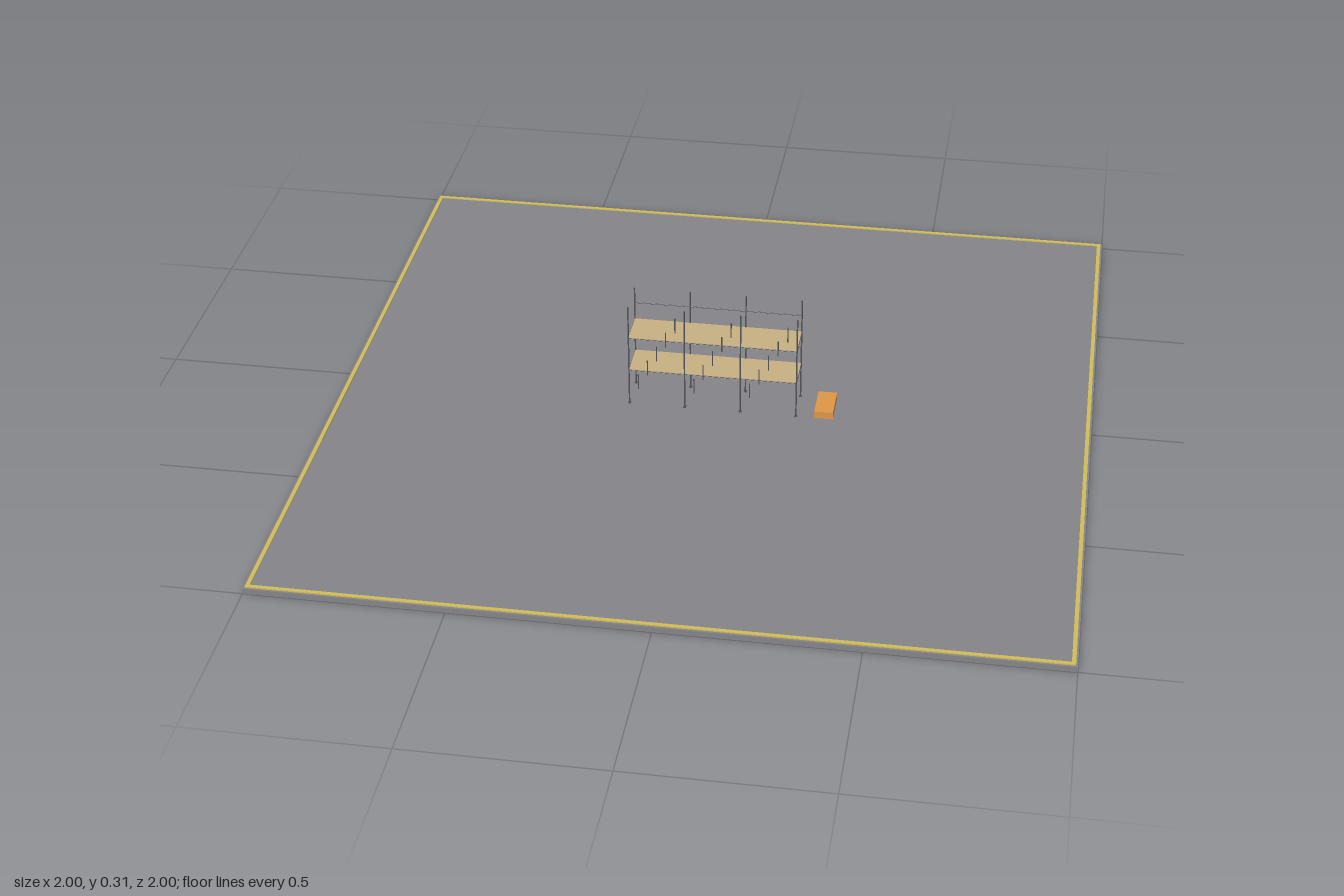
import * as THREE from 'three';

const mat = (color) => new THREE.MeshStandardMaterial({ color });

export function createModel() {
  const model = new THREE.Group();
  const concrete = mat(0x858489), yellow = mat(0xd2bd5a), steel = mat(0x55585c);
  const wood = mat(0xc8b083), orange = mat(0xdd9748);

  const add = (parent, name, geometry, material, x, y, z) => {
    const mesh = new THREE.Mesh(geometry, material);
    mesh.name = name;
    mesh.position.set(x, y, z);
    parent.add(mesh);
    return mesh;
  };
  const box = (parent, name, material, w, h, d, x, y, z) =>
    add(parent, name, new THREE.BoxGeometry(w, h, d), material, x, y, z);
  const tube = (parent, name, r, length, x, y, z) =>
    add(parent, name, new THREE.CylinderGeometry(r, r, length, 8), steel, x, y, z);

  // Ground slab with a painted border strip
  const floor = 0.015;
  box(model, 'groundSlab', concrete, 2, floor, 2, 0, floor / 2, 0);
  const border = new THREE.Group();
  border.name = 'slabBorder';
  model.add(border);
  for (const s of [-1, 1]) {
    box(border, 'borderStrip', yellow, 1.99, 0.003, 0.01, 0, floor + 0.0015, s * 0.99);
    box(border, 'borderStrip', yellow, 0.01, 0.003, 1.97, s * 0.99, floor + 0.0015, 0);
  }

  // Scaffold: three bays, two lifts
  const scaffold = new THREE.Group();
  scaffold.name = 'scaffold';
  model.add(scaffold);
  const bay = 0.149, halfDepth = 0.05, height = 0.297;
  const postXs = [-1.5, -0.5, 0.5, 1.5].map((k) => k * bay);

  // Upright posts on base plates
  for (const x of postXs) {
    for (const z of [-halfDepth, halfDepth]) {
      tube(scaffold, 'post', 0.0019, height, x, floor + height / 2, z);
      box(scaffold, 'basePlate', steel, 0.008, 0.002, 0.008, x, floor + 0.001, z);
    }
  }

  for (const y of [0.118, 0.216]) {
    // Deck boards
    box(scaffold, 'deck', wood, 3 * bay, 0.004, 2 * halfDepth, 0, y, 0);
    // Ledgers along both long sides
    for (const z of [-halfDepth, halfDepth])
      tube(scaffold, 'ledger', 0.0012, 3 * bay, 0, y, z).rotation.z = Math.PI / 2;
    // Transoms across the depth
    for (const x of postXs)
      tube(scaffold, 'transom', 0.0012, 2 * halfDepth, x, y, 0).rotation.x = Math.PI / 2;
    // Guard rail along the back
    tube(scaffold, 'guardRail', 0.0014, 3 * bay, 0, y + 0.051, -halfDepth).rotation.z = Math.PI / 2;
  }

  // Stepped bracing: five short upright pieces rising across each front bay
  for (let b = 0; b < 3; b++) {
    for (let i = 1; i <= 5; i++) {
      const x = postXs[b] + (bay * i) / 6;
      tube(scaffold, 'bracePiece', 0.0015, 0.045, x, 0.038 + i * 0.0455, halfDepth);
    }
  }

  // Material stack beside the scaffold
  box(model, 'materialStack', orange, 0.05, 0.02, 0.1, 0.297, floor + 0.01, 0);

  return model;
}
